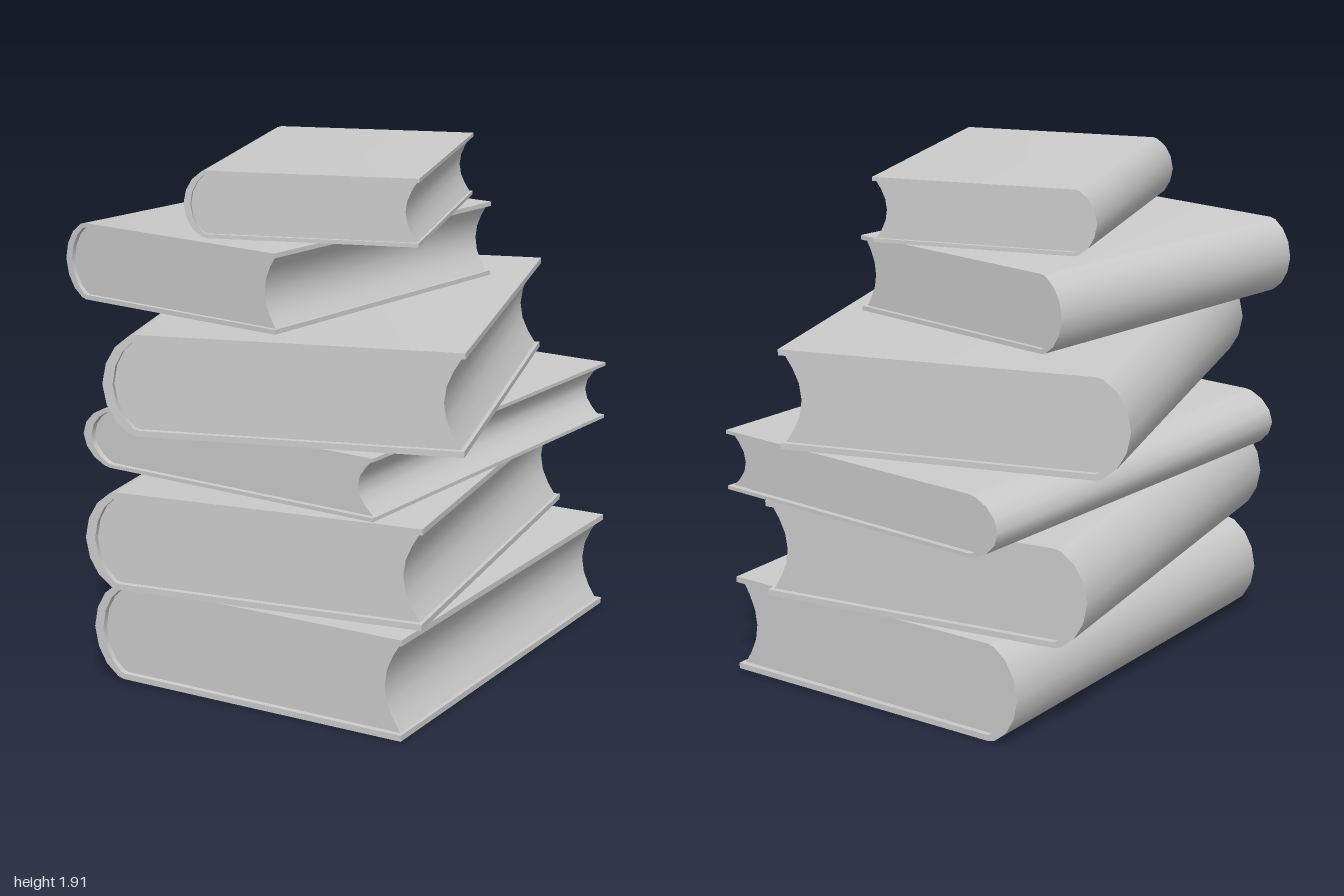
import * as THREE from 'three';
import { toCreasedNormals } from 'three/addons/utils/BufferGeometryUtils.js';

// Nominal book: width 1.3 (x), thickness 0.37 (y), length 1.67 (z), spine towards -x
const W = 0.65, H = 0.185, LENGTH = 1.67, INSET = 0.022, BOARD = 0.022;

// Upper half of each curve, from the top edge to the middle
const SPINE_OUTER = [[-0.523, H], [-0.55, 0.178], [-0.6, 0.137], [-0.635, 0.076], [-W, 0]];
const SPINE_INNER = [[-0.52, H - BOARD], [-0.537, 0.157], [-0.572, 0.122], [-0.6, 0.068], [-0.612, 0]];
const FORE_EDGE = [[0.636, H - BOARD], [0.606, 0.115], [0.582, 0.06], [0.573, 0]];

// Mirrors a half curve about y = 0, giving a full curve running top to bottom
function mirrored(half) {
  const lower = half.slice(0, -1).reverse().map(([x, y]) => [x, -y]);
  return [...half, ...lower];
}

function extrudeProfile(points, depth) {
  const shape = new THREE.Shape(points.map(([x, y]) => new THREE.Vector2(x, y)));
  const geometry = new THREE.ExtrudeGeometry(shape, { depth, bevelEnabled: false });
  geometry.translate(0, 0, -depth / 2);
  return toCreasedNormals(geometry, THREE.MathUtils.degToRad(32));
}

export function createModel() {
  const material = new THREE.MeshStandardMaterial({ color: 0xcccccc });

  // C-shaped cover: two boards joined by a rounded spine
  const coverGeometry = extrudeProfile([
    [W, H], ...mirrored(SPINE_OUTER), [W, -H],
    [W, -H + BOARD], ...mirrored(SPINE_INNER).reverse(), [W, H - BOARD],
  ], LENGTH);

  // Page block: follows the spine, with a hollow fore edge
  const pagesGeometry = extrudeProfile([
    ...mirrored(SPINE_INNER), ...mirrored(FORE_EDGE).reverse(),
  ], LENGTH - 2 * INSET);

  // Bottom to top: x, z, base height, turn about y, overall scale, extra thickness scale
  const stack = [
    [0.1, 0.005, 0, 0, 1, 1.01],
    [0, 0.005, 0.378, 0.153, 1, 1],
    [0, -0.12, 0.752, -0.071, 1, 0.618],
    [0, 0.005, 0.987, 0.297, 1, 1],
    [-0.175, 0.105, 1.386, -0.143, 0.77, 1],
    [0.05, 0.1, 1.675, 0.305, 0.648, 1],
  ];

  const model = new THREE.Group();
  model.name = 'bookStack';
  stack.forEach(([x, z, base, turn, scale, thick], i) => {
    const book = new THREE.Group();
    book.name = `book${i + 1}`;
    const cover = new THREE.Mesh(coverGeometry, material);
    cover.name = 'cover';
    const pages = new THREE.Mesh(pagesGeometry, material);
    pages.name = 'pages';
    book.add(cover, pages);
    book.scale.set(scale, scale * thick, scale);
    book.rotation.y = turn;
    book.position.set(x, base + H * scale * thick, z);
    model.add(book);
  });
  return model;
}
